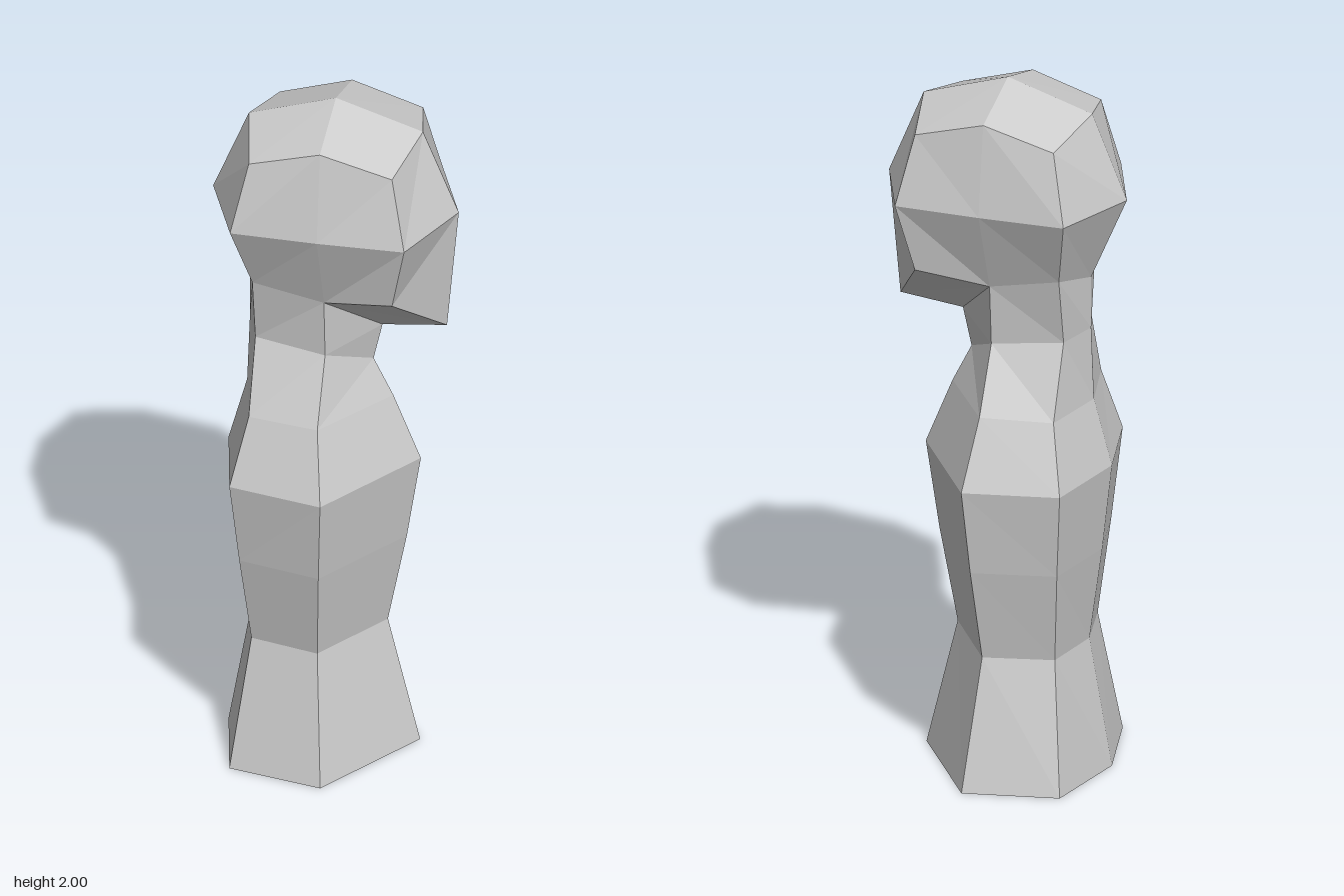
import * as THREE from 'three';

// A ring is given by its half outline: back, back side, side, front side, front.
// The other half is mirrored across z = 0, giving 8 points.
function ring(half) {
  const pts = half.map(p => new THREE.Vector3(...p));
  const mirrored = [3, 2, 1].map(i => new THREE.Vector3(half[i][0], half[i][1], -half[i][2]));
  return [...pts, ...mirrored];
}

// Body rings have no separate front side corner: it coincides with the side.
const bodyRing = (back, backSide, side, front) => ring([back, backSide, side, side, front]);

// Skin a stack of rings (bottom to top), with optional centre points closing the ends.
function skin(rings, bottom, top) {
  const out = [];
  const tri = (a, b, c) => {
    const area = b.clone().sub(a).cross(c.clone().sub(a)).length();
    if (area > 1e-6) for (const p of [a, b, c]) out.push(p.x, p.y, p.z);
  };
  for (let k = 0; k < rings.length - 1; k++) {
    const lo = rings[k], hi = rings[k + 1];
    for (let i = 0; i < 8; i++) {
      const j = (i + 1) % 8;
      if (i < 4) {
        tri(lo[i], lo[j], hi[j]);
        tri(lo[i], hi[j], hi[i]);
      } else {
        tri(lo[i], lo[j], hi[i]);
        tri(lo[j], hi[j], hi[i]);
      }
    }
  }
  for (let i = 0; i < 8; i++) {
    const j = (i + 1) % 8, first = rings[0], last = rings[rings.length - 1];
    if (bottom) tri(first[j], first[i], bottom);
    if (top) tri(last[i], last[j], top);
  }
  const geo = new THREE.BufferGeometry();
  geo.setAttribute('position', new THREE.Float32BufferAttribute(out, 3));
  geo.computeVertexNormals();
  return geo;
}

export function createModel() {
  const clay = new THREE.MeshStandardMaterial({ color: 0xcccccc, flatShading: true });
  clay.name = 'light grey';
  const group = new THREE.Group();
  group.name = 'figure';
  const add = (name, geo) => {
    const mesh = new THREE.Mesh(geo, clay);
    mesh.name = name;
    group.add(mesh);
  };

  const neckTop = bodyRing([-0.24, 1.44, 0], [-0.2, 1.48, 0.155], [0, 1.44, 0.155], [0.13, 1.3, 0]);
  const neckBase = bodyRing([-0.24, 1.29, 0], [-0.2, 1.285, 0.115], [0, 1.265, 0.14], [0.105, 1.19, 0]);

  // Flared base, waist, belly, chest and shoulders
  add('body', skin([
    bodyRing([-0.3, 0, 0], [-0.24, 0, 0.265], [0.025, 0, 0.318], [0.235, 0, 0]),
    bodyRing([-0.235, 0.37, 0], [-0.197, 0.37, 0.18], [-0.003, 0.37, 0.226], [0.145, 0.37, 0]),
    bodyRing([-0.272, 0.64, 0], [-0.22, 0.64, 0.23], [0.012, 0.64, 0.282], [0.198, 0.64, 0]),
    bodyRing([-0.3, 0.89, 0], [-0.24, 0.89, 0.265], [0.025, 0.89, 0.32], [0.237, 0.89, 0]),
    bodyRing([-0.248, 1.08, 0], [-0.2, 1.08, 0.2], [0, 1.085, 0.24], [0.16, 1.08, 0]),
    neckBase,
  ], new THREE.Vector3(0, 0, 0), null));

  add('neck', skin([neckBase, neckTop]));

  // Faceted head with the chin reaching down at +x
  add('head', skin([
    neckTop,
    ring([[-0.24, 1.44, 0], [-0.2, 1.48, 0.155], [0, 1.44, 0.155], [0.2, 1.48, 0.2], [0.31, 1.32, 0]]),
    ring([[-0.343, 1.68, 0], [-0.243, 1.68, 0.243], [0, 1.68, 0.248], [0.243, 1.68, 0.243], [0.343, 1.68, 0]]),
    ring([[-0.243, 1.923, 0], [-0.2, 1.88, 0.2], [0, 1.938, 0.208], [0.2, 1.88, 0.2], [0.243, 1.923, 0]]),
  ], null, new THREE.Vector3(0, 2, 0)));

  return group;
}
